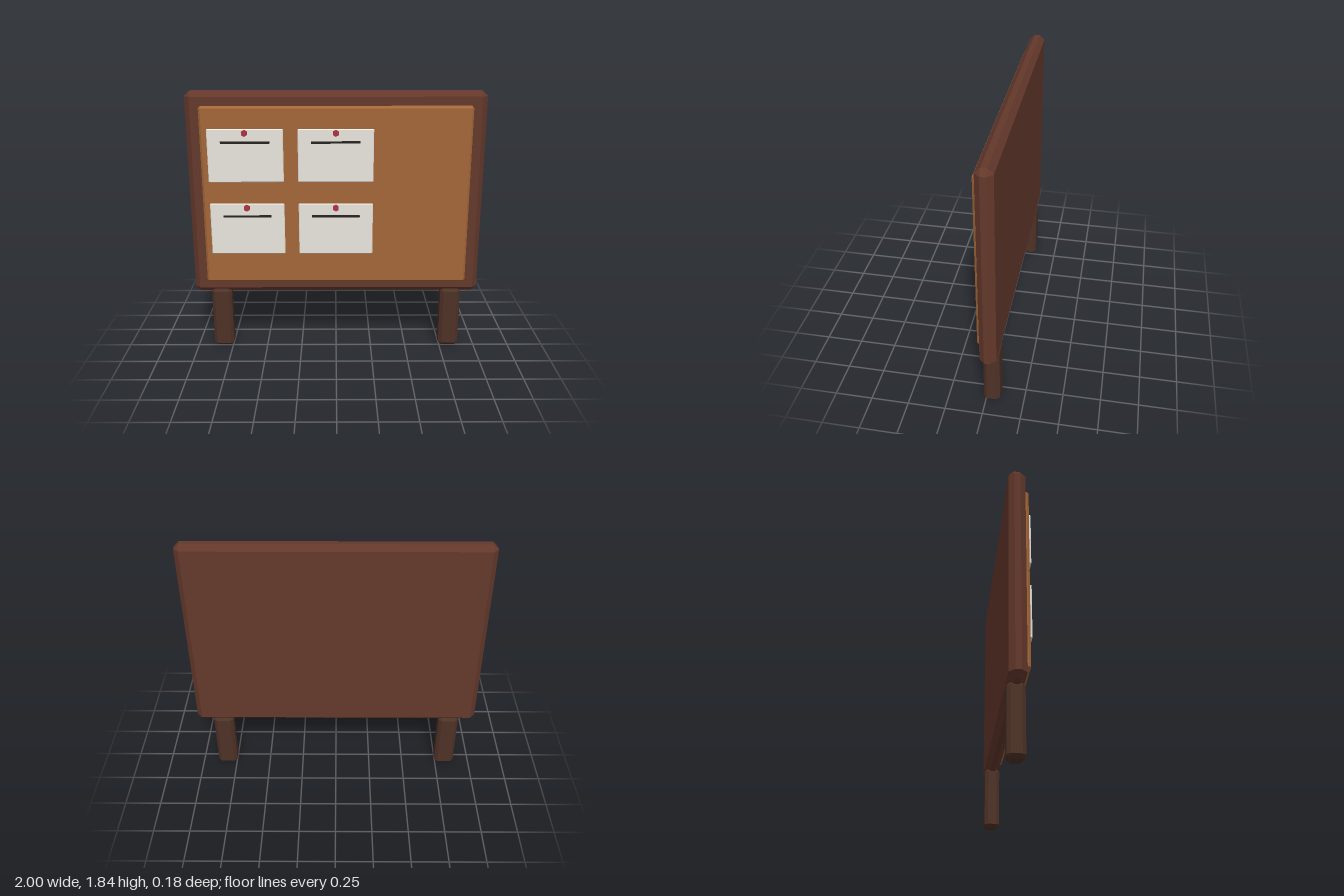
import * as THREE from 'three';
import { ConvexGeometry } from 'three/addons/geometries/ConvexGeometry.js';

const mat = (color) => new THREE.MeshStandardMaterial({ color, flatShading: true });

// Box with every edge and corner chamfered by b
function chamferBox(w, h, d, b) {
  const half = [w / 2, h / 2, d / 2];
  const points = [];
  for (const sx of [-1, 1]) for (const sy of [-1, 1]) for (const sz of [-1, 1]) {
    for (let full = 0; full < 3; full++) {
      const c = half.map((v, i) => (i === full ? v : v - b));
      points.push(new THREE.Vector3(c[0] * sx, c[1] * sy, c[2] * sz));
    }
  }
  return new ConvexGeometry(points);
}

function add(parent, name, geometry, material, x, y, z) {
  const mesh = new THREE.Mesh(geometry, material);
  mesh.name = name;
  mesh.position.set(x, y, z);
  parent.add(mesh);
  return mesh;
}

export function createModel() {
  const board = new THREE.Group();
  board.name = 'noticeBoard';

  const frameWood = mat(0x64382b);
  const legWood = mat(0x4e3227);
  const cork = mat(0xa46738);
  const paper = mat(0xe8e6de);
  const ink = mat(0x262220);
  const red = mat(0xae3343);

  // Backing frame and cork panel
  add(board, 'frame', chamferBox(2, 1.415, 0.107, 0.035), frameWood, 0, 1.1325, -0.0385);
  add(board, 'corkPanel', chamferBox(1.81, 1.235, 0.036, 0.014), cork, 0, 1.13, 0.026);

  // Legs
  const legGeometry = chamferBox(0.14, 0.444, 0.107, 0.022);
  for (const side of [-1, 1]) {
    add(board, side > 0 ? 'leftLeg' : 'rightLeg', legGeometry, legWood, side * 0.815, 0.222, -0.0385);
  }

  // Pinned notes, each with a written line and a six-sided pin
  const sheetGeometry = chamferBox(0.505, 0.36, 0.014, 0.005);
  const lineGeometry = new THREE.BoxGeometry(0.325, 0.015, 0.008);
  const pinGeometry = new THREE.CylinderGeometry(0.022, 0.022, 0.02, 6).rotateX(Math.PI / 2);
  for (const y of [1.42, 0.91]) {
    for (const x of [-0.603, -0.002]) {
      const note = new THREE.Group();
      note.name = 'note';
      note.position.set(x, y, 0);
      add(note, 'sheet', sheetGeometry, paper, 0, 0, 0.053);
      add(note, 'writtenLine', lineGeometry, ink, 0, 0.093, 0.067);
      add(note, 'pin', pinGeometry, red, 0, 0.157, 0.082);
      board.add(note);
    }
  }
  return board;
}
